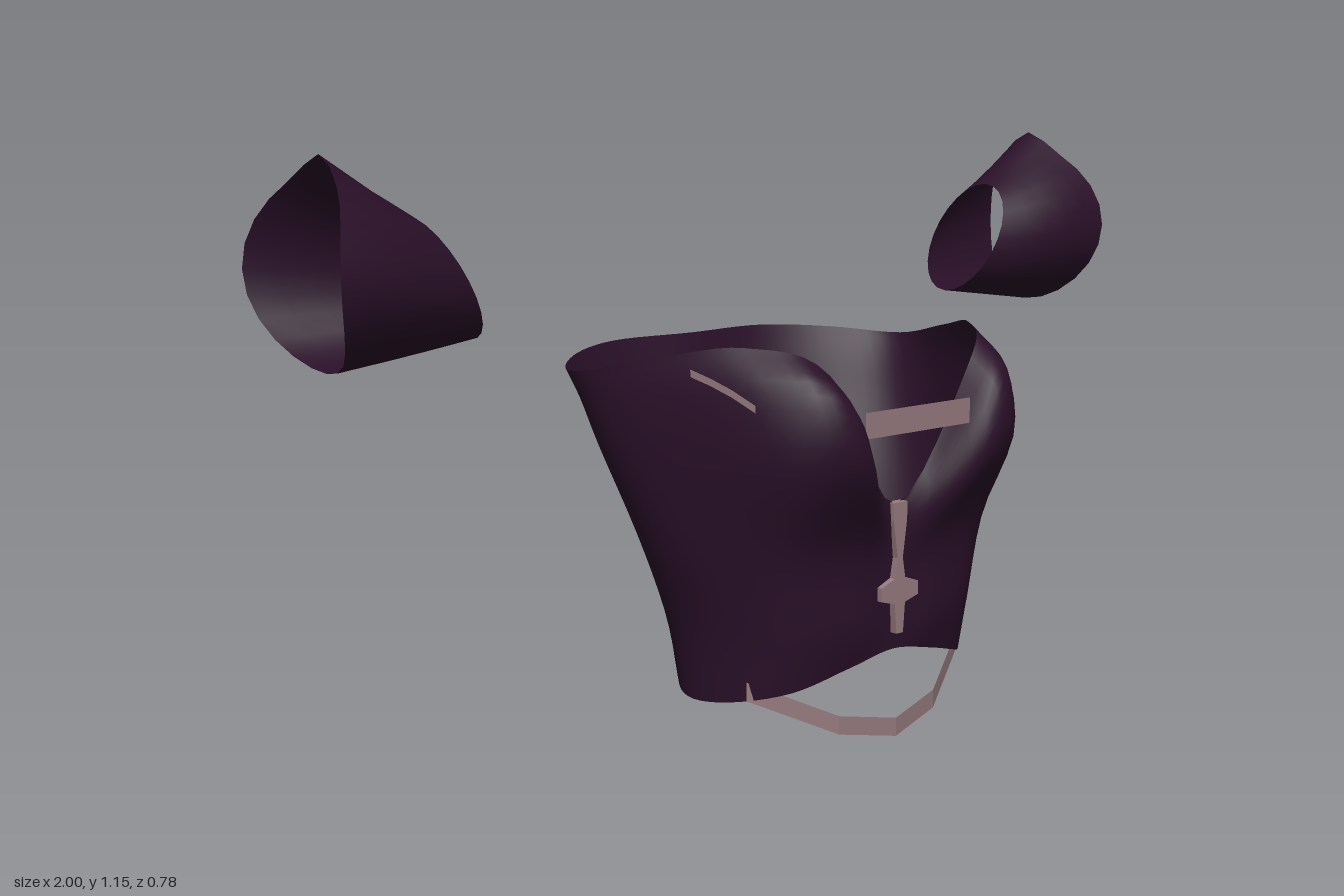
import * as THREE from 'three';

const fabric = new THREE.MeshStandardMaterial({ color: 0x2a1029, side: THREE.DoubleSide });
fabric.name = 'dark plum fabric';
const trim = new THREE.MeshStandardMaterial({ color: 0x967a7e, side: THREE.DoubleSide });
trim.name = 'dusty rose trim';

const V = (p) => new THREE.Vector3(...p);

function part(name, geometry, material) {
  const mesh = new THREE.Mesh(geometry, material);
  mesh.name = name;
  return mesh;
}

// Smooth open-ended skin through a list of closed loops
function loft(rows) {
  const n = rows[0].length, index = [];
  for (let i = 0; i < rows.length - 1; i++) {
    for (let j = 0; j < n; j++) {
      const k = (j + 1) % n;
      const a = i * n + j, b = a + n, c = i * n + k, d = c + n;
      index.push(a, b, c, b, d, c);
    }
  }
  const g = new THREE.BufferGeometry().setFromPoints(rows.flat());
  g.setIndex(index);
  g.computeVertexNormals();
  return g;
}

// Flat faceted band with upright edges along a list of points
function ribbon(points, height) {
  const pos = [];
  for (let i = 0; i < points.length - 1; i++) {
    const [p, q] = [points[i], points[i + 1]], h = height / 2;
    const a = [p.x, p.y - h, p.z], b = [q.x, q.y - h, q.z];
    const c = [q.x, q.y + h, q.z], d = [p.x, p.y + h, p.z];
    pos.push(...a, ...b, ...c, ...a, ...c, ...d);
  }
  const g = new THREE.BufferGeometry();
  g.setAttribute('position', new THREE.Float32BufferAttribute(pos, 3));
  g.computeVertexNormals();
  return g;
}

// Half cross-sections of the bodice, centre back to centre front
const hem = [[0, .17, -.145], [.13, .165, -.138], [.24, .122, -.075], [.315, .095, .03],
  [.308, .1, .14], [.23, .125, .245], [.11, .16, .283], [0, .18, .29]];
const waist = [[0, .24, -.165], [.14, .24, -.16], [.26, .24, -.095], [.328, .24, .02],
  [.318, .24, .15], [.24, .24, .262], [.12, .24, .3], [0, .24, .293]];
const underbust = [[0, .4, -.22], [.16, .4, -.215], [.29, .4, -.145], [.365, .4, -.02],
  [.355, .4, .13], [.27, .4, .27], [.14, .4, .308], [0, .35, .294]];
const bust = [[0, .57, -.277], [.18, .57, -.275], [.33, .57, -.2], [.408, .57, -.08],
  [.38, .57, .1], [.3, .58, .32], [.17, .56, .39], [0, .42, .295]];
const upper = [[0, .67, -.305], [.19, .67, -.305], [.345, .67, -.235], [.43, .67, -.115],
  [.39, .69, .07], [.31, .715, .275], [.19, .68, .38], [0, .45, .295]];
const rim = [[0, .745, -.325], [.2, .745, -.33], [.35, .735, -.265], [.445, .725, -.14],
  [.385, .765, .05], [.3, .79, .2], [.19, .74, .31], [0, .47, .295]];

function bodiceGrid() {
  const around = 84, up = 20;
  const loops = [hem, waist, underbust, bust, upper, rim].map((half) => {
    const mirrored = half.slice(1, -1).reverse().map(([x, y, z]) => [-x, y, z]);
    const curve = new THREE.CatmullRomCurve3([...half, ...mirrored].map(V), true, 'catmullrom', 0.5);
    return Array.from({ length: around }, (_, j) => curve.getPoint(j / around));
  });
  const columns = Array.from({ length: around }, (_, j) =>
    new THREE.CatmullRomCurve3(loops.map((l) => l[j]), false, 'catmullrom', 0.5));
  return Array.from({ length: up + 1 }, (_, i) => columns.map((c) => c.getPoint(i / up)));
}

// Flared cuff with a tilted inner opening and a peaked, saddle-shaped outer edge
function sleeveGeometry() {
  const n = 24, steps = 5, rows = [];
  for (let i = 0; i <= steps; i++) {
    const t = i / steps, row = [];
    for (let j = 0; j < n; j++) {
      const a = (j / n) * Math.PI * 2, c = Math.cos(a), s = Math.sin(a);
      const peak = 0.03 * Math.max(0, 1 - Math.abs(a - Math.PI / 2) / 0.55);
      const inner = new THREE.Vector3(.705 + .065 * s, .918 + .118 * s, -.193 + .1 * c);
      const outer = new THREE.Vector3(.935 + .065 * c * c, .94 + .18 * s + peak, -.21 + .175 * c);
      const p = inner.lerp(outer, t);
      p.z += 0.02 * Math.sin(Math.PI * t) * Math.max(0, c);
      row.push(p);
    }
    rows.push(row);
  }
  return loft(rows);
}

// Keyhole-shaped lacing down the centre front
function lacingGeometry() {
  const half = [[.018, .475], [.018, .44], [.007, .365], [.014, .325], [.05, .312],
    [.05, .285], [.014, .275], [.009, .215]];
  const outline = [...half, ...half.slice().reverse().map(([x, y]) => [-x, y])];
  const shape = new THREE.Shape(outline.map(([x, y]) => new THREE.Vector2(x, y)));
  const g = new THREE.ExtrudeGeometry(shape, { depth: 0.02, bevelEnabled: false });
  return g.translate(0, 0, 0.288);
}

export function createModel() {
  const model = new THREE.Group();
  model.name = 'bodiceAndSleeves';

  const grid = bodiceGrid();
  model.add(part('bodice', loft(grid), fabric));
  model.add(part('frontLacing', lacingGeometry(), trim));

  // Strap bridging the cups
  model.add(part('chestStrap', ribbon([V([-.14, .645, .355]), V([.14, .645, .355])], .05), trim));

  // Hanging strap below the hem
  const hang = [[.29, .128, .187], [.26, .113, .205], [.13, .048, .275], [0, .023, .3]];
  const hangPath = [...hang.map(([x, y, z]) => [-x, y, z]), ...hang.slice(0, -1).reverse()];
  model.add(part('hemStrap', ribbon(hangPath.map(V), .037), trim));

  // Mirrored sleeves and side stitching
  const sleeve = sleeveGeometry();
  const stitchPath = [[15, 29], [16, 28], [17, 27], [18, 26]].map(([i, j]) => {
    const p = grid[i][j].clone();
    p.x += 0.004;
    return p;
  });
  const stitch = ribbon(stitchPath, .014);
  for (const [side, s] of [['left', 1], ['right', -1]]) {
    const group = new THREE.Group();
    group.name = side + 'Side';
    group.add(part(side + 'Sleeve', sleeve, fabric), part(side + 'Stitching', stitch, trim));
    group.scale.x = s;
    model.add(group);
  }
  return model;
}
